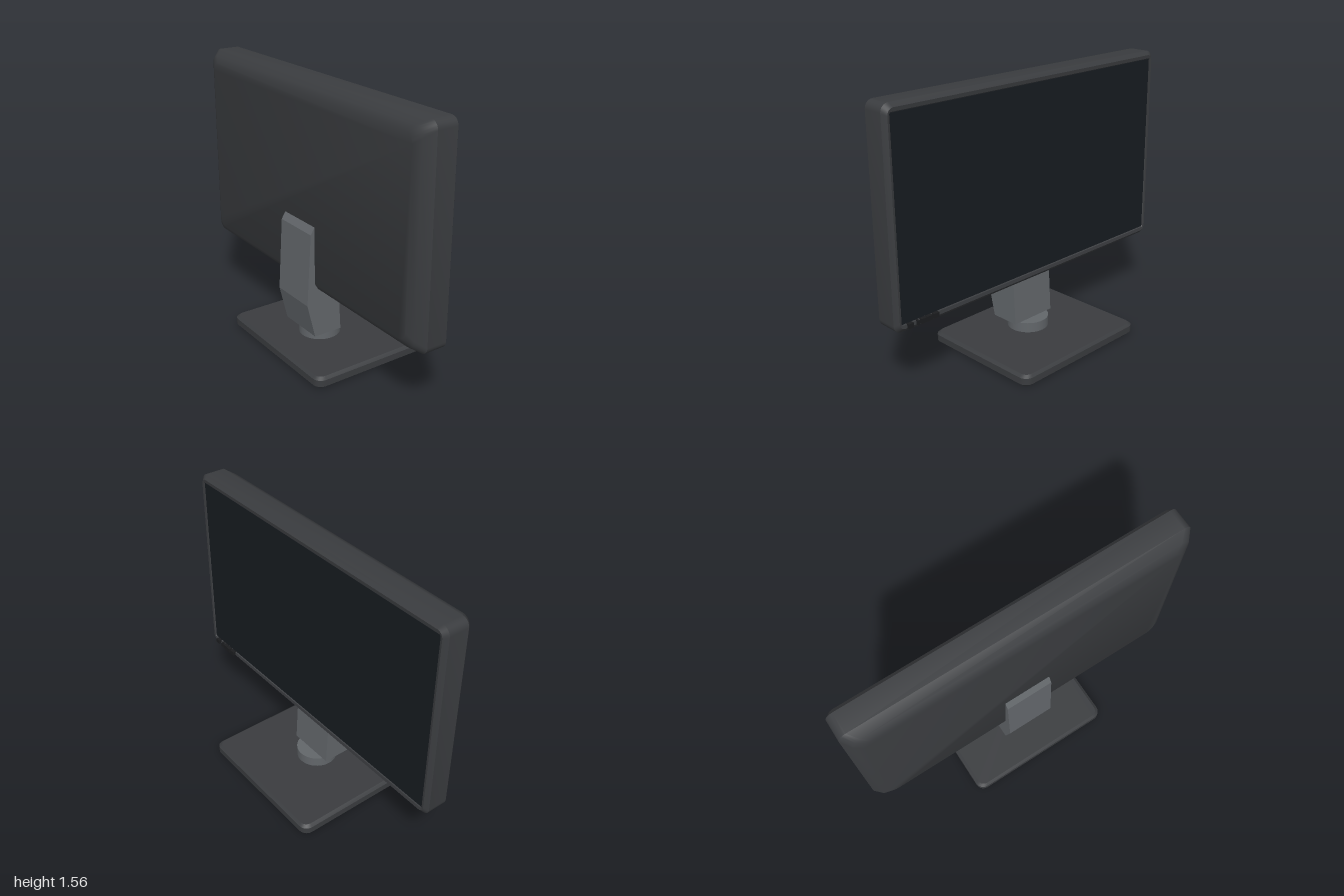
import * as THREE from 'three';
import { toCreasedNormals } from 'three/addons/utils/BufferGeometryUtils.js';

const material = (color) => new THREE.MeshStandardMaterial({ color });

// Rounded rectangle outline, counter-clockwise in the xy plane
function ringPoints(w, h, r, steps = 5) {
  const pts = [];
  const corners = [[1, 1], [-1, 1], [-1, -1], [1, -1]];
  corners.forEach(([sx, sy], q) => {
    for (let i = 0; i <= steps; i++) {
      const a = (q + i / steps) * Math.PI / 2;
      pts.push([sx * (w / 2 - r) + r * Math.cos(a), sy * (h / 2 - r) + r * Math.sin(a)]);
    }
  });
  return pts;
}

// Closed solid through rounded rectangles; each ring is [z, width, height, radius]
function loft(rings, crease = 0.4) {
  const pos = [], idx = [];
  const n = ringPoints(1, 1, 0.1).length;
  rings.forEach(([z, w, h, r]) => ringPoints(w, h, r).forEach(([x, y]) => pos.push(x, y, z)));
  for (let k = 0; k < rings.length - 1; k++) {
    for (let i = 0; i < n; i++) {
      const j = (i + 1) % n, a = k * n, b = a + n;
      idx.push(a + i, a + j, b + j, a + i, b + j, b + i);
    }
  }
  const last = (rings.length - 1) * n;
  for (let i = 1; i < n - 1; i++) {
    idx.push(0, i + 1, i);
    idx.push(last, last + i, last + i + 1);
  }
  const g = new THREE.BufferGeometry();
  g.setAttribute('position', new THREE.Float32BufferAttribute(pos, 3));
  g.setIndex(idx);
  return toCreasedNormals(g, crease);
}

export function createModel() {
  const group = new THREE.Group();
  const dark = material(0x3a3c3f);
  const add = (name, geometry, mat, x = 0, y = 0, z = 0) => {
    const mesh = new THREE.Mesh(geometry, mat);
    mesh.name = name;
    mesh.position.set(x, y, z);
    group.add(mesh);
    return mesh;
  };

  // Housing: recessed front, chamfered bezel, curved taper at the back
  add('housing', loft([
    [-0.01, 1.92, 1.08, 0.008],
    [-0.02, 1.93, 1.09, 0.01],
    [-0.022, 1.955, 1.13, 0.035],
    [0, 2, 1.175, 0.045],
    [0.12, 2, 1.175, 0.045],
    [0.17, 1.92, 1.115, 0.05],
    [0.19, 1.83, 1.045, 0.05],
  ], 0.6), dark, 0, 0.977);

  // Screen panel
  add('screen', new THREE.BoxGeometry(1.92, 1.08, 0.012), material(0x171b20), 0, 0.977, -0.01);

  // Control buttons and power light under the screen
  const buttonMat = material(0x1c1d1f);
  [[0.755, 0.034], [0.797, 0.034], [0.835, 0.034], [0.87, 0.01], [0.917, 0.03]].forEach(([x, w]) =>
    add('button', new THREE.BoxGeometry(w, 0.026, 0.022), buttonMat, x, 0.424, -0.026));

  // Stand arm: side profile (z, y) extruded across the width
  const profile = [[0.015, 0.125], [0.19, 0.125], [0.24, 0.33], [0.215, 0.75], [0.19, 0.79], [0.08, 0.79], [0.03, 0.4]];
  const shape = new THREE.Shape(profile.map(([z, y]) => new THREE.Vector2(-z, y)));
  const armGeo = new THREE.ExtrudeGeometry(shape, { depth: 0.29, bevelEnabled: false });
  armGeo.translate(0, 0, -0.145).rotateY(Math.PI / 2);
  const standMat = material(0x62666a);
  add('standArm', armGeo, standMat);

  // Swivel collar
  add('swivelCollar', new THREE.CylinderGeometry(0.12, 0.12, 0.065, 40), standMat, 0, 0.0925, 0.06);

  // Base plate with chamfered rims
  const baseGeo = loft([
    [0, 0.87, 0.73, 0.04],
    [0.014, 0.905, 0.76, 0.05],
    [0.052, 0.905, 0.76, 0.05],
    [0.066, 0.87, 0.73, 0.04],
  ], 0.5);
  baseGeo.rotateX(-Math.PI / 2);
  add('base', baseGeo, dark);

  return group;
}
